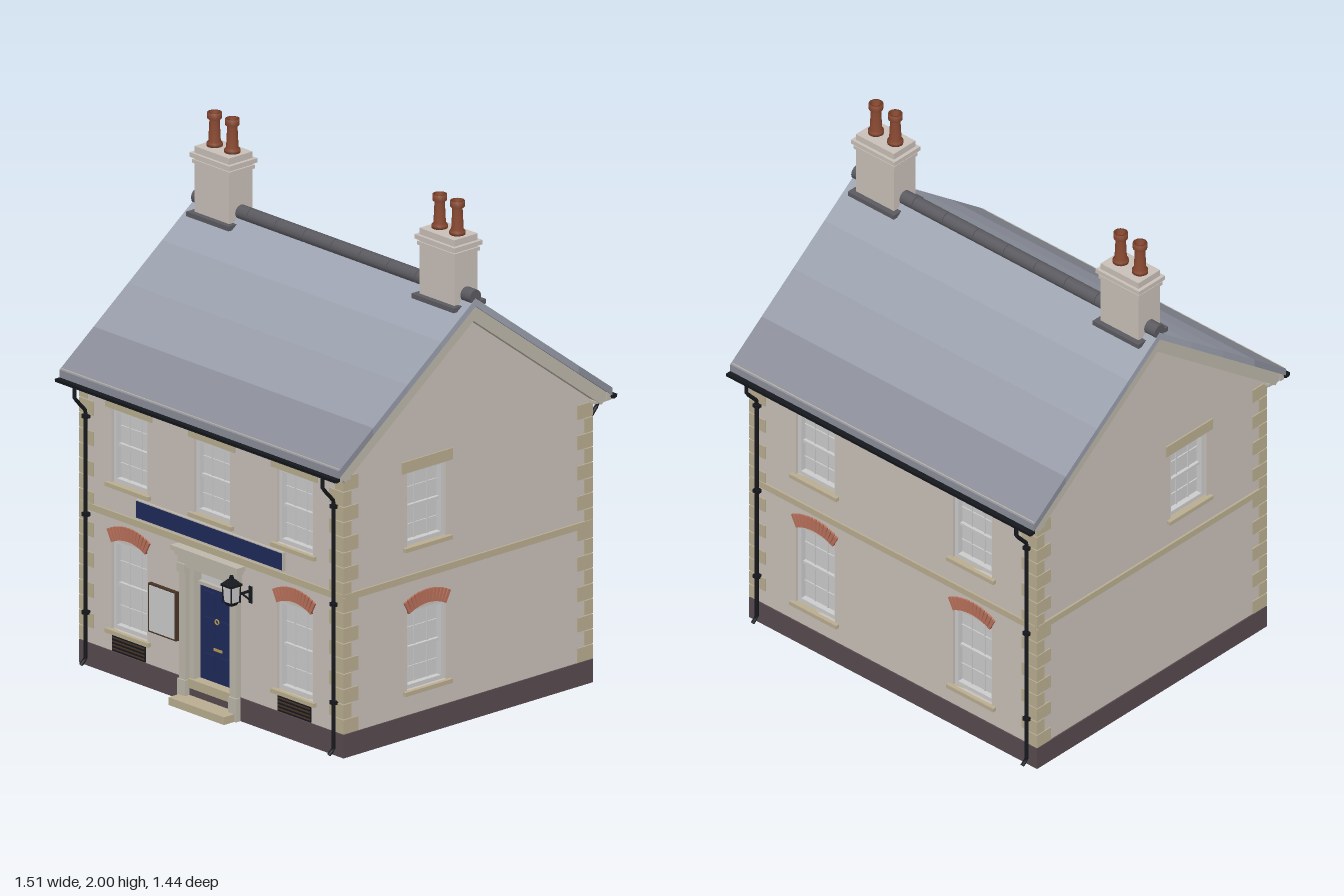
import * as THREE from 'three';

const C = {
  wall: 0xc9c0b8, stone: 0xb9ad90, plinth: 0x574a4e, brick: 0xb8705a, white: 0xd8d8d4, glass: 0xc3c7c6,
  iron: 0x15181d, navy: 0x1e2a5a, trim: 0xbdb7aa, lead: 0x5a5a60, pot: 0x8a4a32, gold: 0xb59a50, brown: 0x4a3426,
};
const ROOF = [0x8a8d99, 0x979ba8, 0x9a9fac, 0x9da3b0];
const W = 0.71, D = 0.614;            // half width and half depth of the walls
const APEX = 1.645, SLOPE = 0.749, EAVE = 0.678;

const mats = {};
const mat = (c) => (mats[c] ??= new THREE.MeshStandardMaterial({ color: c, side: THREE.DoubleSide }));

function add(parent, name, geo, color, x = 0, y = 0, z = 0) {
  const m = new THREE.Mesh(geo, mat(color));
  m.name = name;
  m.position.set(x, y, z);
  parent.add(m);
  return m;
}
// Box given by its limits in x, y and z
const block = (p, name, c, x0, x1, y0, y1, z0, z1) =>
  add(p, name, new THREE.BoxGeometry(x1 - x0, y1 - y0, z1 - z0), c, (x0 + x1) / 2, (y0 + y1) / 2, (z0 + z1) / 2);

function group(parent, name, x = 0, y = 0, z = 0) {
  const g = new THREE.Group();
  g.name = name;
  g.position.set(x, y, z);
  parent.add(g);
  return g;
}

const poly = (pts) => new THREE.Shape(pts.map(([x, y]) => new THREE.Vector2(x, y)));
const rect = (x0, x1, y0, y1) => [[x0, y0], [x1, y0], [x1, y1], [x0, y1]];

// Sash window with sill and either a stone lintel or a brick arch
function sashWindow(parent, { u, y0, y1, arch }) {
  const g = group(parent, 'sashWindow', u, 0, 0), w = 0.098, mid = (y0 + y1) / 2;
  block(g, 'glass', C.glass, -w, w, y0, y1, -0.045, -0.035);
  for (const s of [-1, 1]) {
    block(g, 'frameSide', C.white, s * 0.09 - 0.008, s * 0.09 + 0.008, y0, y1, -0.036, -0.012);
    block(g, 'glazingBar', C.white, s * 0.032 - 0.002, s * 0.032 + 0.002, y0, y1, -0.036, -0.03);
    const yb = mid + s * (y1 - y0) / 4;
    block(g, 'glazingBar', C.white, -w, w, yb - 0.002, yb + 0.002, -0.036, -0.03);
  }
  block(g, 'frameTop', C.white, -w, w, y1 - 0.014, y1, -0.036, -0.012);
  block(g, 'frameBottom', C.white, -w, w, y0, y0 + 0.016, -0.036, -0.012);
  block(g, 'meetingRail', C.white, -w, w, mid - 0.006, mid + 0.006, -0.036, -0.022);
  block(g, 'sill', C.stone, -0.117, 0.117, y0 - 0.016, y0, -0.03, 0.016);
  if (!arch) {
    block(g, 'lintel', C.stone, -0.125, 0.125, y1, y1 + 0.045, -0.03, 0.006);
    return;
  }
  for (let i = -6; i <= 6; i++) {
    const a = i * 0.08, r = 0.21;
    const b = add(g, 'archBrick', new THREE.BoxGeometry(0.0135, 0.052, 0.03), C.brick,
      r * Math.sin(a), y1 - 0.168 + r * Math.cos(a), -0.007);
    b.rotation.z = -a;
  }
}

// One wall with openings, facing local +z
function facade(house, name, angle, dist, half, gable, windows, door) {
  const g = group(house, name, Math.sin(angle) * dist, 0, Math.cos(angle) * dist);
  g.rotation.y = angle;
  const top = gable ? [[half, 1.12], [0, 1.6], [-half, 1.12]] : [[half, 1.12], [-half, 1.12]];
  const shape = poly([[-half, 0.05], [half, 0.05], ...top]);
  for (const o of windows) shape.holes.push(poly(rect(o.u - 0.0975, o.u + 0.0975, o.y0, o.y1)));
  if (door) shape.holes.push(poly(rect(-0.115, 0.115, 0.08, 0.53)));
  add(g, 'wall', new THREE.ExtrudeGeometry(shape, { depth: 0.05, bevelEnabled: false }), C.wall, 0, 0, -0.05);
  windows.forEach((o) => sashWindow(g, o));
  block(g, 'stringCourse', C.stone, -half, half, 0.607, 0.633, -0.01, 0.008);
  return g;
}

// Gutter and two downpipes on an eaves wall
function rainwater(g) {
  const gutter = add(g, 'gutter', new THREE.CylinderGeometry(0.015, 0.015, 1.51, 10, 1, true, -Math.PI / 2, Math.PI), C.iron, 0, 1.108, 0.073);
  gutter.rotation.set(0, Math.PI / 2, Math.PI / 2, 'YXZ');
  gutter.rotation.set(Math.PI / 2, 0, Math.PI / 2);
  block(g, 'gutterBed', C.iron, -0.755, 0.755, 1.096, 1.108, 0.06, 0.086);
  block(g, 'fascia', C.trim, -0.75, 0.75, 1.09, 1.143, 0.042, 0.06);
  block(g, 'soffit', C.trim, -0.74, 0.74, 1.085, 1.097, -0.01, 0.05);
  const pts = [[1.1, 0.068], [1.05, 0.068], [0.99, 0.013], [0.028, 0.013], [0.01, 0.036]].map(([y, z]) => new THREE.Vector3(0, y, z));
  const path = new THREE.CurvePath();
  for (let i = 1; i < pts.length; i++) path.add(new THREE.LineCurve3(pts[i - 1], pts[i]));
  for (const s of [-1, 1]) {
    add(g, 'downpipe', new THREE.TubeGeometry(path, 70, 0.0075, 8), C.iron, s * 0.67);
    for (const y of [0.2, 0.58, 0.96]) block(g, 'pipeBracket', C.iron, s * 0.67 - 0.012, s * 0.67 + 0.012, y, y + 0.015, 0, 0.022);
  }
}

function entrance(g) {
  const e = group(g, 'entrance');
  block(e, 'door', C.navy, -0.097, 0.097, 0.09, 0.462, -0.045, -0.03);
  for (const s of [-1, 1]) {
    for (const [y0, y1] of [[0.12, 0.2], [0.245, 0.34], [0.36, 0.44]])
      block(e, 'doorPanel', C.navy, s * 0.045 - 0.03, s * 0.045 + 0.03, y0, y1, -0.031, -0.025);
    block(e, 'doorJamb', C.trim, s * 0.108 - 0.011, s * 0.108 + 0.011, 0.05, 0.53, -0.04, 0.002);
    block(e, 'pilaster', C.trim, s * 0.138 - 0.017, s * 0.138 + 0.017, 0.03, 0.53, -0.01, 0.022);
    block(e, 'pilasterBase', C.trim, s * 0.138 - 0.021, s * 0.138 + 0.021, 0, 0.09, -0.01, 0.028);
    block(e, 'bracket', C.trim, s * 0.138 - 0.021, s * 0.138 + 0.021, 0.505, 0.54, -0.01, 0.03);
  }
  block(e, 'transomRail', C.trim, -0.1, 0.1, 0.46, 0.473, -0.045, -0.02);
  block(e, 'transomLight', C.glass, -0.1, 0.1, 0.473, 0.53, -0.045, -0.035);
  block(e, 'transomHead', C.white, -0.1, 0.1, 0.52, 0.53, -0.04, -0.02);
  block(e, 'entablature', C.trim, -0.16, 0.16, 0.528, 0.57, -0.01, 0.024);
  block(e, 'hoodMoulding', C.trim, -0.168, 0.168, 0.568, 0.586, -0.01, 0.032);
  block(e, 'hood', C.trim, -0.18, 0.18, 0.586, 0.604, -0.01, 0.042);
  add(e, 'knocker', new THREE.TorusGeometry(0.009, 0.003, 6, 14), C.gold, 0, 0.335, -0.024);
  add(e, 'doorKnob', new THREE.SphereGeometry(0.007, 10, 8), C.gold, 0.078, 0.235, -0.024);
  block(e, 'letterPlate', C.gold, -0.022, 0.022, 0.218, 0.228, -0.031, -0.027);
  block(e, 'threshold', C.stone, -0.118, 0.118, 0.06, 0.095, -0.045, 0.012);
  block(e, 'step', C.stone, -0.15, 0.15, 0, 0.03, 0, 0.079);
}

function lamp(g) {
  const l = group(g, 'wallLamp', 0.21, 0, 0.097);
  const square = (name, rt, rb, y0, y1, c) => {
    const k = Math.SQRT2;
    add(l, name, new THREE.CylinderGeometry(rt * k, rb * k, y1 - y0, 4).rotateY(Math.PI / 4).toNonIndexed(), c, 0, (y0 + y1) / 2).geometry.computeVertexNormals();
  };
  square('lampBase', 0.02, 0.014, 0.485, 0.498, C.iron);
  square('lampGlass', 0.024, 0.018, 0.498, 0.562, C.white);
  square('lampRim', 0.029, 0.029, 0.56, 0.568, C.iron);
  square('lampCap', 0.01, 0.027, 0.568, 0.586, C.iron);
  square('lampFinial', 0.005, 0.007, 0.586, 0.6, C.iron);
  for (const x of [-1, 1]) for (const z of [-1, 1])
    block(l, 'lampPost', C.iron, x * 0.022 - 0.002, x * 0.022 + 0.002, 0.495, 0.562, z * 0.022 - 0.002, z * 0.022 + 0.002);
  block(l, 'bracketArm', C.iron, -0.004, 0.004, 0.514, 0.522, -0.097, -0.015);
  block(l, 'bracketPlate', C.iron, -0.009, 0.009, 0.47, 0.535, -0.1, -0.093);
  const strut = add(l, 'bracketStrut', new THREE.BoxGeometry(0.006, 0.006, 0.06), C.iron, 0, 0.5, -0.072);
  strut.rotation.x = -0.7;
}

function roof(house) {
  const r = group(house, 'roof');
  const line = (z, drop) => [z, APEX - drop - SLOPE * Math.abs(z)];
  // Profile in (z, y), run along x
  const run = (name, pts, x0, x1, c) => {
    const geo = new THREE.ExtrudeGeometry(poly(pts), { depth: x1 - x0, bevelEnabled: false }).rotateY(-Math.PI / 2);
    add(r, name, geo, c, x1);
  };
  for (const s of [-1, 1]) {
    ROOF.forEach((c, i) => {
      const a = s * EAVE * (1 - i / 4), b = s * EAVE * (1 - (i + 1) / 4);
      run('slateSlope', [line(a, 0), line(b, 0), line(b, 0.03), line(a, 0.03)], -0.755, 0.755, c);
    });
    for (const x of [-0.725, 0.725]) {
      const e = s * (EAVE - 0.008);
      run('bargeboard', [line(0, 0.029), line(e, 0.029), [s * 0.636, 1.078], line(0, 0.09)], x - 0.018, x + 0.018, C.trim);
    }
  }
  for (let i = 0; i < 10; i++)
    add(r, 'ridgeTile', new THREE.CylinderGeometry(0.028, 0.028, 0.148, 12).rotateZ(Math.PI / 2), C.lead, (i - 4.5) * 0.151, 1.65);
}

function chimney(house, x) {
  const c = group(house, 'chimney', x);
  const tier = (name, hx, hz, y0, y1, col) => block(c, name, col, -hx, hx, y0, y1, -hz, hz);
  tier('flashing', 0.114, 0.08, 1.598, 1.616, C.lead);
  tier('stack', 0.094, 0.058, 1.52, 1.87, C.wall);
  tier('lowerBand', 0.101, 0.063, 1.805, 1.819, C.wall);
  tier('upperBand', 0.108, 0.07, 1.828, 1.845, C.wall);
  const prof = [[0, 0], [0.03, 0], [0.03, 0.012], [0.023, 0.02], [0.019, 0.1], [0.027, 0.107], [0.027, 0.13], [0.018, 0.13], [0.017, 0.06], [0, 0.06]];
  for (const s of [-1, 1])
    add(c, 'chimneyPot', new THREE.LatheGeometry(prof.map(([a, b]) => new THREE.Vector2(a, b)), 16), C.pot, s * 0.048, 1.87);
}

export function createModel() {
  const model = new THREE.Group();
  model.name = 'stationHouse';
  const house = group(model, 'house', 0, 0, -0.018);
  const up = (u) => ({ u, y0: 0.742, y1: 1.03 });
  const low = (u, y0 = 0.175, y1 = 0.52) => ({ u, y0, y1, arch: true });

  // Walls
  const front = facade(house, 'frontWall', 0, D, W, false, [up(-0.447), up(0), up(0.447), low(-0.447), low(0.447)], true);
  const back = facade(house, 'backWall', Math.PI, D, W, false, [up(-0.39), up(0.39), low(-0.39), low(0.39)]);
  facade(house, 'leftGable', Math.PI / 2, W, D, true, [up(-0.203), low(-0.203, 0.185, 0.49)]);
  facade(house, 'rightGable', -Math.PI / 2, W, D, true, [up(0.203)]);
  block(house, 'plinth', C.plinth, -W - 0.005, W + 0.005, 0, 0.09, -D - 0.005, D + 0.005);

  // Corner stones, long and short in turn
  for (const sx of [-1, 1]) for (const sz of [-1, 1]) for (let i = 0; i < 17; i++) {
    const a = i % 2 ? 0.078 : 0.045, b = i % 2 ? 0.04 : 0.075, o = 0.005;
    add(house, 'quoin', new THREE.BoxGeometry(a, 0.055, b), C.stone, sx * (W + o - a / 2), 0.12 + i * 0.0588, sz * (D + o - b / 2));
  }

  // Front fittings
  entrance(front);
  lamp(front);
  block(front, 'signBorder', C.trim, -0.4, 0.395, 0.643, 0.715, 0, 0.012);
  block(front, 'signBoard', C.navy, -0.396, 0.391, 0.647, 0.711, 0.004, 0.015);
  block(front, 'noticeFrame', C.brown, -0.33, -0.18, 0.222, 0.412, 0, 0.014);
  block(front, 'noticePanel', C.white, -0.323, -0.187, 0.229, 0.405, 0.005, 0.017);
  for (const x of [-0.447, 0.447]) {
    block(front, 'vent', C.iron, x - 0.09, x + 0.09, 0.092, 0.155, -0.005, 0.004);
    for (let k = 0; k < 4; k++) block(front, 'ventSlat', C.brown, x - 0.086, x + 0.086, 0.1 + k * 0.014, 0.105 + k * 0.014, 0, 0.007);
  }
  rainwater(front);
  rainwater(back);

  roof(house);
  chimney(house, -0.608);
  chimney(house, 0.608);
  return model;
}
